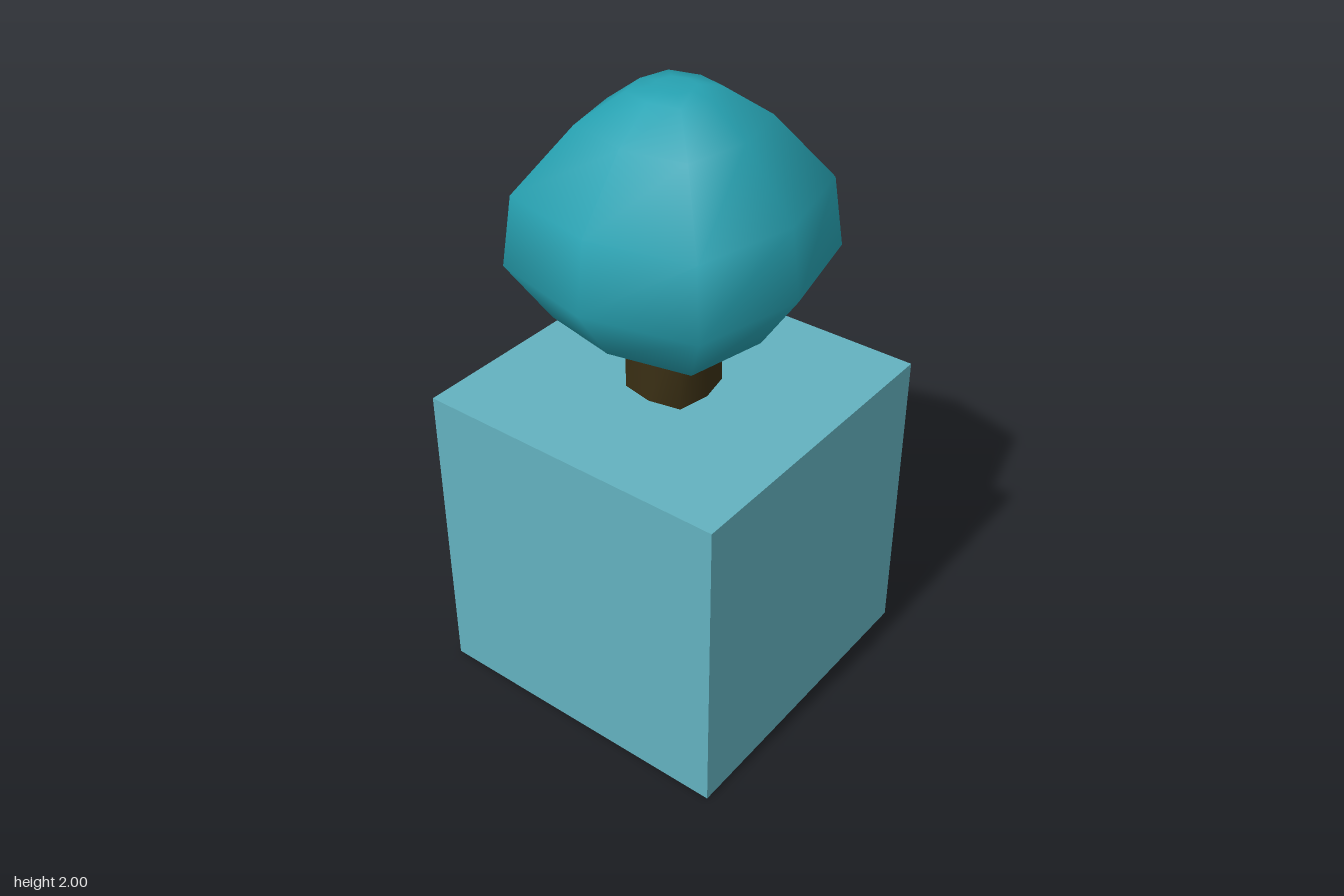
import * as THREE from 'three';

const material = (name, color) => {
  const m = new THREE.MeshStandardMaterial({ color });
  m.name = name;
  return m;
};

// Eight-sided squarish rings, each [y, mid-side distance, corner coordinate], with smooth normals
function ringSolid(rings, capped) {
  const pos = [], index = [], n = 8;
  for (const [y, mid, corner] of rings) {
    for (let j = 0; j < n; j++) {
      const a = (j * Math.PI) / 4;
      const r = j % 2 ? corner * Math.SQRT2 : mid;
      pos.push(Math.cos(a) * r, y, Math.sin(a) * r);
    }
  }
  for (let i = 0; i < rings.length - 1; i++) {
    for (let j = 0; j < n; j++) {
      const a = i * n + j, b = i * n + ((j + 1) % n);
      index.push(a, a + n, b, b, a + n, b + n);
    }
  }
  if (capped) {
    const bottom = pos.length / 3, top = bottom + 1, last = (rings.length - 1) * n;
    pos.push(0, rings[0][0], 0, 0, rings[rings.length - 1][0], 0);
    for (let j = 0; j < n; j++) {
      const k = (j + 1) % n;
      index.push(bottom, j, k, top, last + k, last + j);
    }
  }
  const g = new THREE.BufferGeometry();
  g.setAttribute('position', new THREE.Float32BufferAttribute(pos, 3));
  g.setIndex(index);
  g.computeVertexNormals();
  return g;
}

export function createModel() {
  const model = new THREE.Group();
  const add = (name, geometry, mat, x, y, z) => {
    const mesh = new THREE.Mesh(geometry, mat);
    mesh.name = name;
    mesh.position.set(x, y, z);
    model.add(mesh);
  };

  // Cube base
  add('baseBlock', new THREE.BoxGeometry(1.04, 1.04, 1.04), material('paleTeal', 0x63b1bf), 0, 0.52, 0);

  // Short trunk
  add('trunk', ringSolid([[1.04, 0.125, 0.104], [1.31, 0.125, 0.104]], false),
    material('darkBrown', 0x3a2f14), 0, 0, 0.01);

  // Rounded crown with a flat underside
  add('foliage', ringSolid([
    [1.3, 0.31, 0.255],
    [1.48, 0.43, 0.348],
    [1.7, 0.4, 0.325],
    [1.9, 0.24, 0.195],
    [1.99, 0.12, 0.095],
    [2.0, 0.06, 0.045],
  ], true), material('teal', 0x27a3b3), 0, 0, 0.007);

  return model;
}
